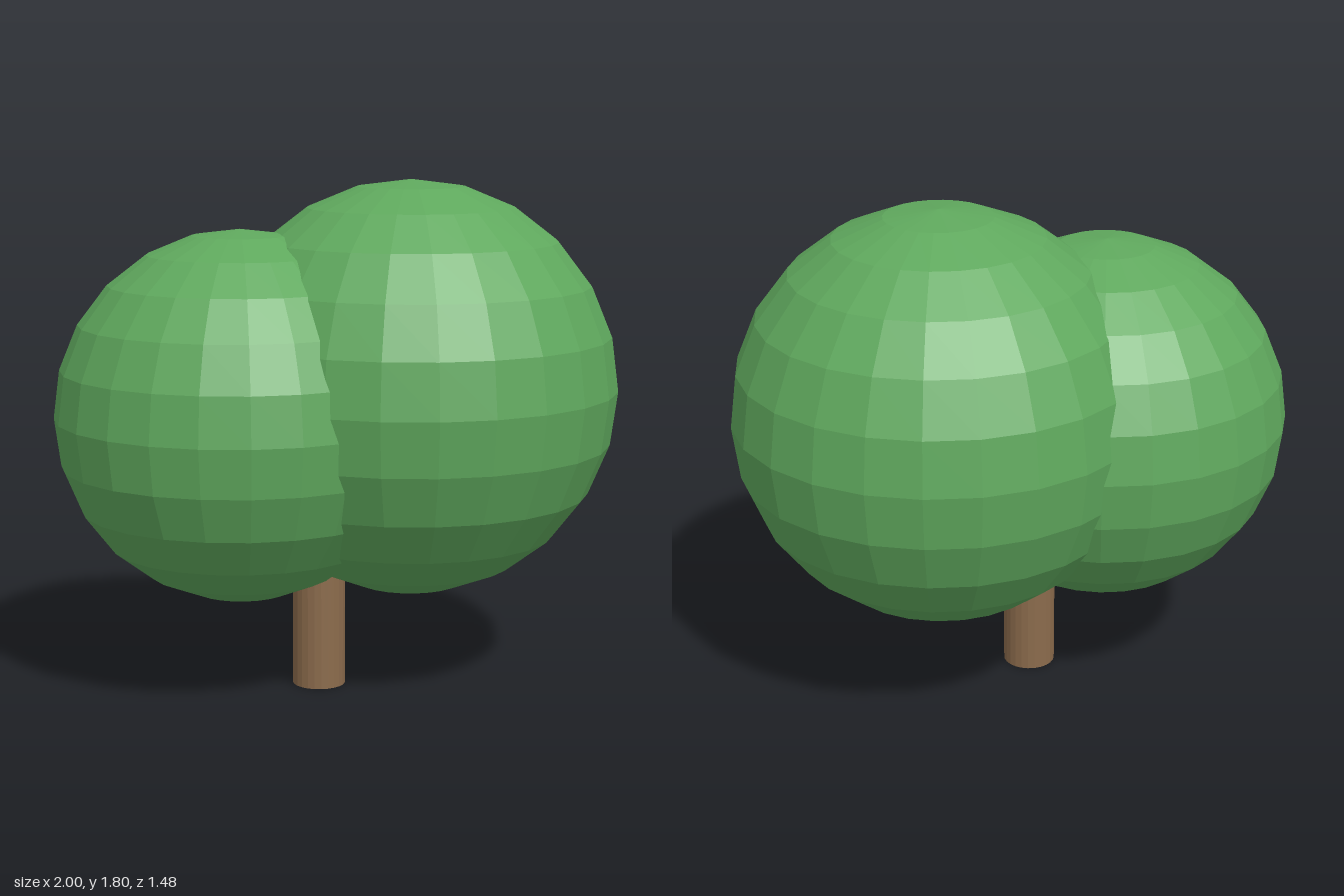
import * as THREE from 'three';

export function createModel() {
  const tree = new THREE.Group();
  tree.name = 'tree';

  const leafGreen = new THREE.MeshStandardMaterial({ color: 0x5fa85d, flatShading: true });
  leafGreen.name = 'leaf green';
  const barkBrown = new THREE.MeshStandardMaterial({ color: 0x8b6b4c, flatShading: true });
  barkBrown.name = 'bark brown';

  function add(name, geometry, material, x, y, z) {
    const mesh = new THREE.Mesh(geometry, material);
    mesh.name = name;
    mesh.position.set(x, y, z);
    tree.add(mesh);
  }

  // Two overlapping faceted balls of foliage
  add('largeFoliage', new THREE.SphereGeometry(0.738, 24, 12), leafGreen, 0.262, 1.065, 0);
  add('smallFoliage', new THREE.SphereGeometry(0.655, 24, 12), leafGreen, -0.345, 0.983, 0.065);

  // Trunk, reaching up into the foliage
  const trunkHeight = 0.7;
  add('trunk', new THREE.CylinderGeometry(0.094, 0.094, trunkHeight, 24), barkBrown, -0.072, trunkHeight / 2, 0.069);

  return tree;
}
